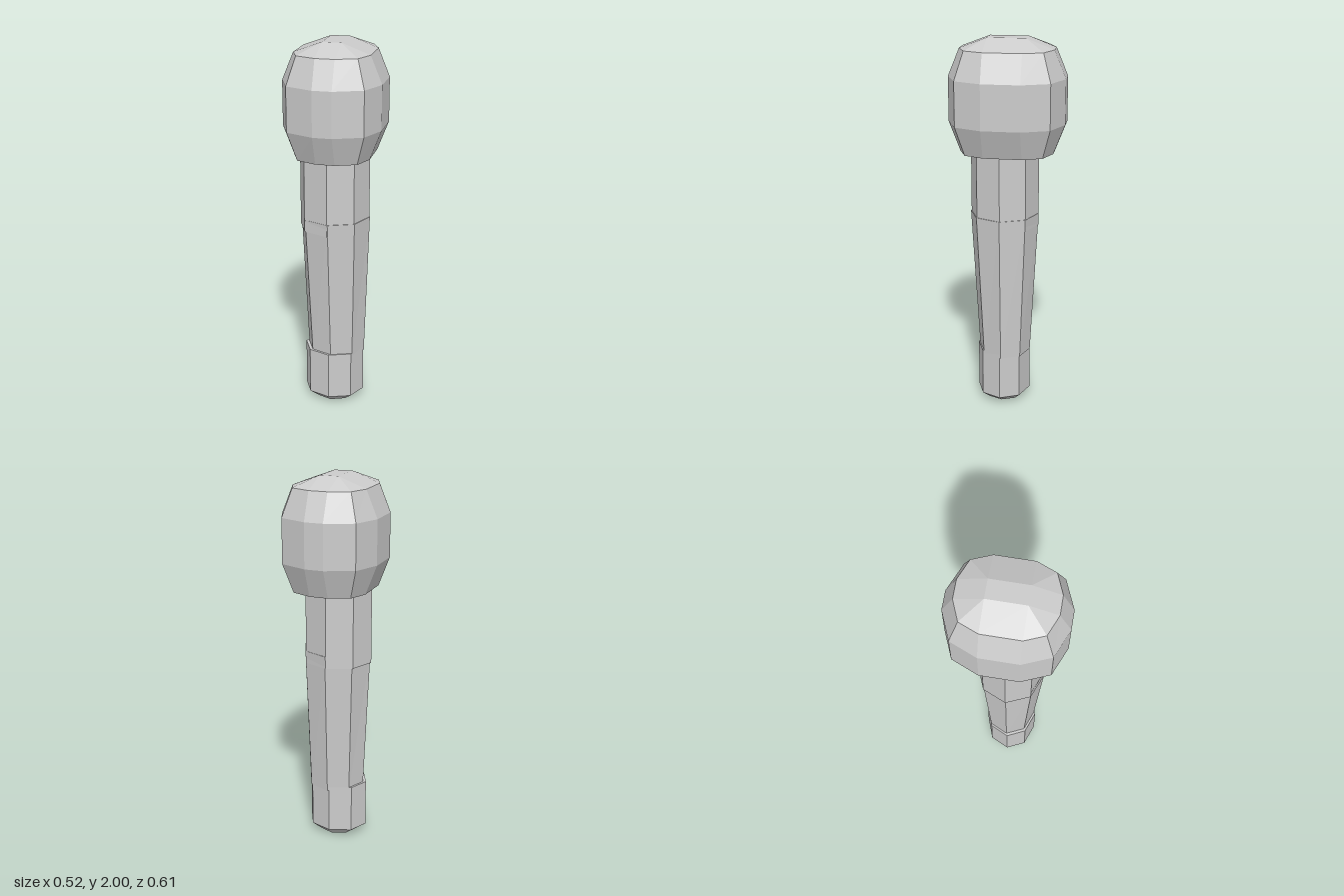
import * as THREE from 'three';

// Skin a stack of rings (bottom to top, counter-clockwise from above) and close both ends
function loft(name, rings, material) {
  const pos = [];
  const tri = (a, b, c) => {
    const t = new THREE.Triangle(a, b, c);
    if (t.getArea() > 1e-7) pos.push(...a.toArray(), ...b.toArray(), ...c.toArray());
  };
  const n = rings[0].length;
  for (let k = 0; k < rings.length - 1; k++) {
    const lo = rings[k], hi = rings[k + 1];
    for (let i = 0; i < n; i++) {
      const j = (i + 1) % n;
      tri(lo[i], lo[j], hi[j]);
      tri(lo[i], hi[j], hi[i]);
    }
  }
  const bottom = rings[0], top = rings[rings.length - 1];
  for (let i = 1; i < n - 1; i++) {
    tri(bottom[0], bottom[i + 1], bottom[i]);
    tri(top[0], top[i], top[i + 1]);
  }
  const geometry = new THREE.BufferGeometry();
  geometry.setAttribute('position', new THREE.Float32BufferAttribute(pos, 3));
  geometry.computeVertexNormals();
  const mesh = new THREE.Mesh(geometry, material);
  mesh.name = name;
  return mesh;
}

// Eight-sided ring with corners on the axes
function octagon(y, cx, cz, rx, rz) {
  return Array.from({ length: 8 }, (_, i) => {
    const a = (i * Math.PI) / 4;
    return new THREE.Vector3(cx + rx * Math.sin(a), y, cz + rz * Math.cos(a));
  });
}

// Twelve-sided rounded rectangle: three points per corner, mirrored into each quadrant
function roundedRing(y, corner) {
  const back = [...corner].reverse();
  const points = [
    ...corner,
    ...back.map(([x, z]) => [x, -z]),
    ...corner.map(([x, z]) => [-x, -z]),
    ...back.map(([x, z]) => [-x, z]),
  ];
  return points.map(([x, z]) => new THREE.Vector3(x, y, z));
}

export function createModel() {
  const group = new THREE.Group();
  group.name = 'microphone';
  const material = new THREE.MeshStandardMaterial({ color: 0xcccccc, flatShading: true });

  // Head: faceted rounded block, the crown's corners gathering to a small rectangle
  const wide = [[0.05, 0.304], [0.198, 0.243], [0.258, 0.1]];
  const narrow = [[0.05, 0.244], [0.156, 0.201], [0.198, 0.1]];
  const crown = [[0.05, 0.1], [0.05, 0.1], [0.05, 0.1]];
  group.add(loft('head', [
    roundedRing(1.41, narrow),
    roundedRing(1.565, wide),
    roundedRing(1.8, wide),
    roundedRing(1.945, narrow),
    roundedRing(2, crown),
  ], material));

  // Handle: straight collar, tapered grip and chamfered end piece
  group.add(loft('collar', [
    octagon(1.005, -0.004, 0.017, 0.188, 0.181),
    octagon(1.45, -0.004, 0.017, 0.188, 0.181),
  ], material));
  group.add(loft('grip', [
    octagon(0.28, 0.005, 0.016, 0.156, 0.139),
    octagon(1.07, 0, 0.018, 0.187, 0.183),
  ], material));
  group.add(loft('endPiece', [
    octagon(0, -0.004, 0.021, 0.105, 0.1),
    octagon(0.04, -0.004, 0.022, 0.163, 0.143),
    octagon(0.3, -0.004, 0.022, 0.163, 0.143),
  ], material));

  return group;
}
